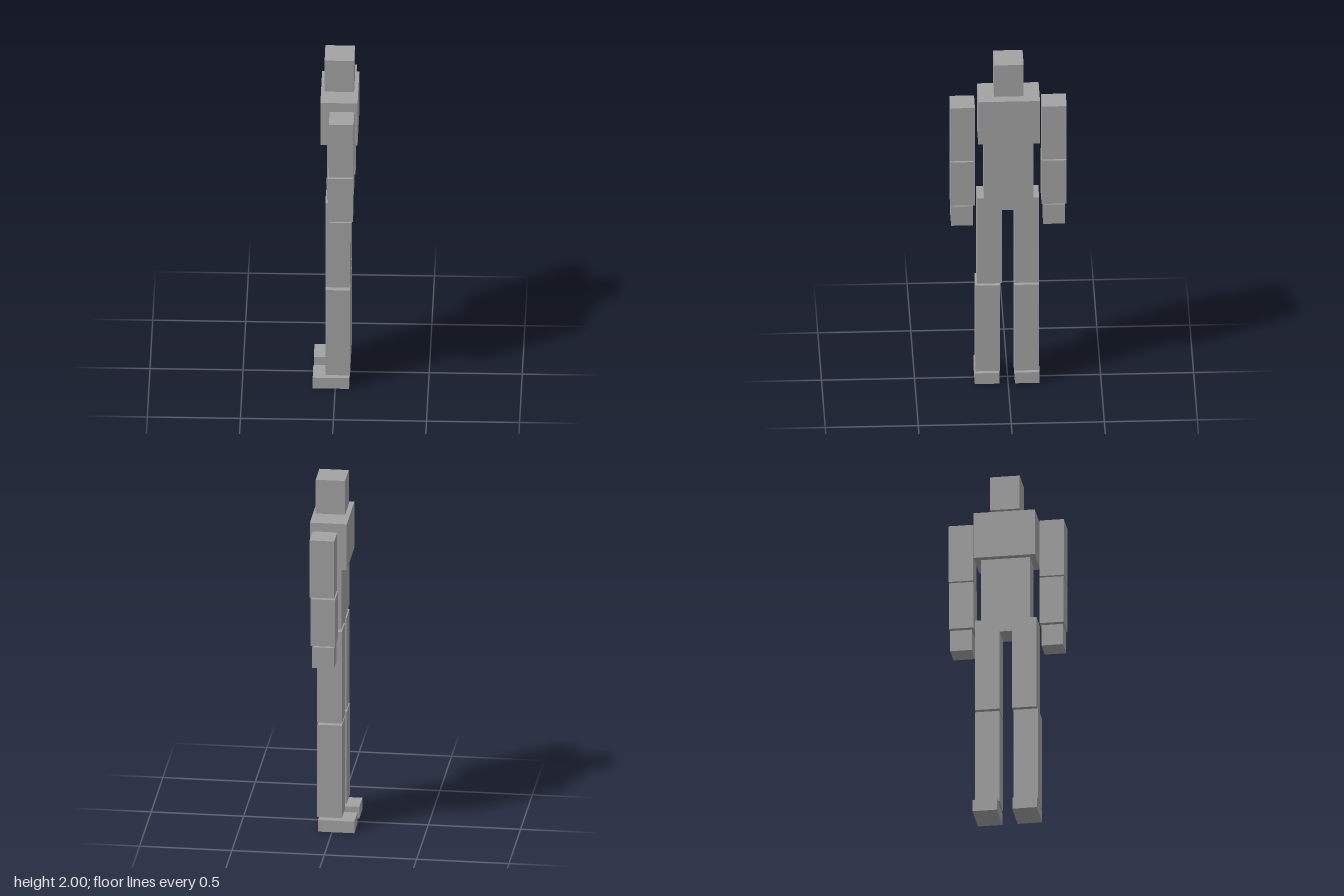
import * as THREE from 'three';

const grey = new THREE.MeshStandardMaterial({ color: 0xa3a3a3 });
grey.name = 'grey';

// Box given by its extents on each axis
function block(name, [x0, x1], [y0, y1], [z0, z1]) {
  const mesh = new THREE.Mesh(new THREE.BoxGeometry(x1 - x0, y1 - y0, z1 - z0), grey);
  mesh.position.set((x0 + x1) / 2, (y0 + y1) / 2, (z0 + z1) / 2);
  mesh.name = name;
  return mesh;
}

// Limb segments: name, x extent, y extent, z extent on the +z side, z extent on the -z side
const arm = [
  ['UpperArm', [-0.03, 0.103], [1.41, 1.74], [0.179, 0.312], [-0.314, -0.181]],
  ['Forearm', [-0.034, 0.099], [1.13, 1.4], [0.18, 0.312], [-0.312, -0.179]],
  ['Hand', [-0.028, 0.09], [1.0, 1.12], [0.19, 0.307], [-0.305, -0.188]],
];
const leg = [
  ['Thigh', [-0.053, 0.08], [0.63, 1.16], [0.034, 0.167], [-0.167, -0.034]],
  ['Shin', [-0.053, 0.08], [0.083, 0.617], [0.043, 0.176], [-0.167, -0.034]],
  ['Foot', [-0.121, 0.075], [0, 0.067], [0.046, 0.179], [-0.17, -0.037]],
];

export function createModel() {
  const figure = new THREE.Group();
  figure.name = 'blockFigure';

  // Head and torso; the figure looks towards -x
  figure.add(
    block('head', [-0.06, 0.099], [1.805, 2.0], [-0.083, 0.077]),
    block('chest', [-0.08, 0.12], [1.52, 1.785], [-0.17, 0.162]),
    block('abdomen', [-0.046, 0.087], [1.09, 1.52], [-0.135, 0.131]),
  );

  // Arms and legs
  for (const [limbName, limb] of [['Arm', arm], ['Leg', leg]]) {
    for (const side of ['near', 'far']) {
      const group = new THREE.Group();
      group.name = side + limbName;
      for (const [name, x, y, nearZ, farZ] of limb) {
        group.add(block(side + name, x, y, side === 'near' ? nearZ : farZ));
      }
      figure.add(group);
    }
  }
  return figure;
}
